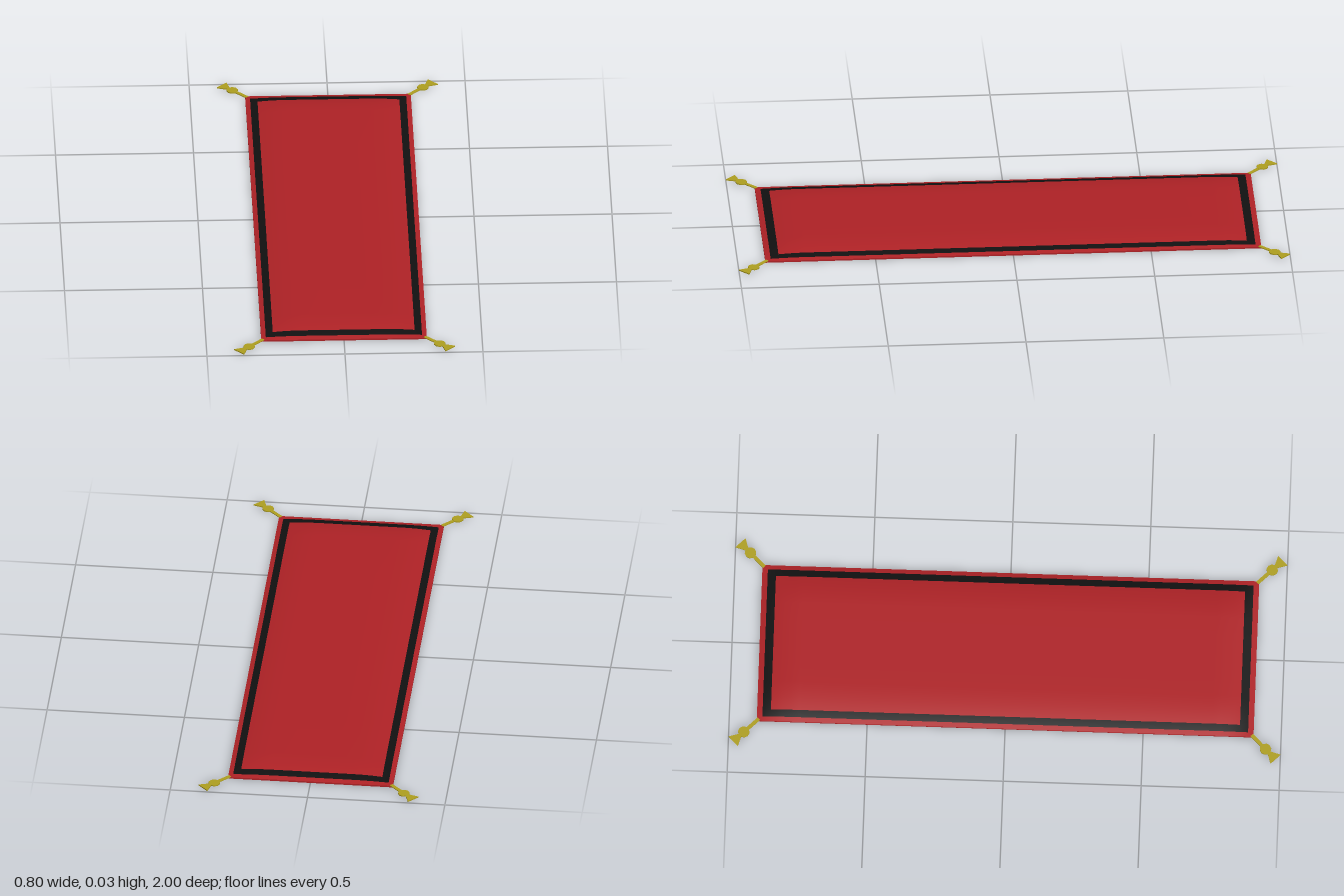
import * as THREE from 'three';

const HX = 0.3, HZ = 0.9;
const mat = (color) => new THREE.MeshStandardMaterial({ color });

// Soft rise from the hem to the padded middle
const ease = (d) => { const t = Math.min(d / 0.15, 1); return 1 - (1 - t) ** 2; };
const height = (x, z) => 0.006 + 0.019 * ease(HX - Math.abs(x)) * ease(HZ - Math.abs(z));

// Mirror distances from the centre into a full row of grid lines
const mirror = (a) => [...a.map((v) => -v).reverse(), 0, ...a];

// Domed top, one shared grid split into hem, border band and field
function addTop(group, colors) {
  const xs = mirror([0.08, 0.15, 0.18, 0.21, 0.235, 0.257, 0.27, 0.283, HX]);
  const zs = mirror([0.25, 0.5, 0.75, 0.78, 0.81, 0.83, 0.85, 0.865, 0.88, HZ]);
  const pos = [], index = { hem: [], border: [], field: [] };
  for (const z of zs) for (const x of xs) pos.push(x, height(x, z), z);
  for (let j = 0; j < zs.length - 1; j++) {
    for (let i = 0; i < xs.length - 1; i++) {
      const cx = Math.abs(xs[i] + xs[i + 1]) / 2, cz = Math.abs(zs[j] + zs[j + 1]) / 2;
      const zone = cx > 0.283 || cz > 0.88 ? 'hem' : cx > 0.257 || cz > 0.85 ? 'border' : 'field';
      const a = j * xs.length + i, b = a + 1, c = a + xs.length, d = c + 1;
      index[zone].push(a, c, b, b, c, d);
    }
  }
  const whole = new THREE.BufferGeometry();
  whole.setAttribute('position', new THREE.Float32BufferAttribute(pos, 3));
  whole.setIndex(Object.values(index).flat());
  whole.computeVertexNormals();
  for (const zone in index) {
    const geo = whole.clone();
    geo.setIndex(index[zone]);
    const mesh = new THREE.Mesh(geo, colors[zone]);
    mesh.name = zone;
    group.add(mesh);
  }
}

// Flat tassel lying along +x: cord, knot and flared fringe
function makeTassel(gold) {
  const tassel = new THREE.Group();
  const add = (name, geo, x) => {
    const mesh = new THREE.Mesh(geo, gold);
    mesh.name = name;
    mesh.position.set(x, 0.006, 0);
    tassel.add(mesh);
  };
  add('cord', new THREE.BoxGeometry(0.1, 0.003, 0.013), 0.04);
  add('knot', new THREE.CylinderGeometry(0.021, 0.021, 0.004, 10), 0.064);
  const fringe = new THREE.Shape([[0, -0.006], [0.035, -0.025], [0.035, 0.025], [0, 0.006]]
    .map(([x, y]) => new THREE.Vector2(x, y)));
  const geo = new THREE.ExtrudeGeometry(fringe, { depth: 0.004, bevelEnabled: false });
  geo.translate(0, 0, -0.002).rotateX(-Math.PI / 2);
  add('fringe', geo, 0.082);
  return tassel;
}

export function createModel() {
  const rug = new THREE.Group();
  rug.name = 'rug';
  const red = mat(0xb02226), gold = mat(0xb0a020);

  addTop(rug, { hem: red, border: mat(0x111111), field: red });

  // Flat backing and thin sides, just short of the domed top
  const base = new THREE.Mesh(new THREE.BoxGeometry(2 * HX, 0.0059, 2 * HZ), red);
  base.name = 'backing';
  base.position.y = 0.00295;
  rug.add(base);

  // One tassel pointing outward at each corner
  for (const sx of [-1, 1]) {
    for (const sz of [-1, 1]) {
      const tassel = makeTassel(gold);
      tassel.name = (sz > 0 ? 'front' : 'back') + (sx > 0 ? 'Left' : 'Right') + 'Tassel';
      tassel.position.set(sx * HX, 0, sz * HZ);
      tassel.rotation.y = Math.atan2(-sz, sx);
      rug.add(tassel);
    }
  }
  return rug;
}
